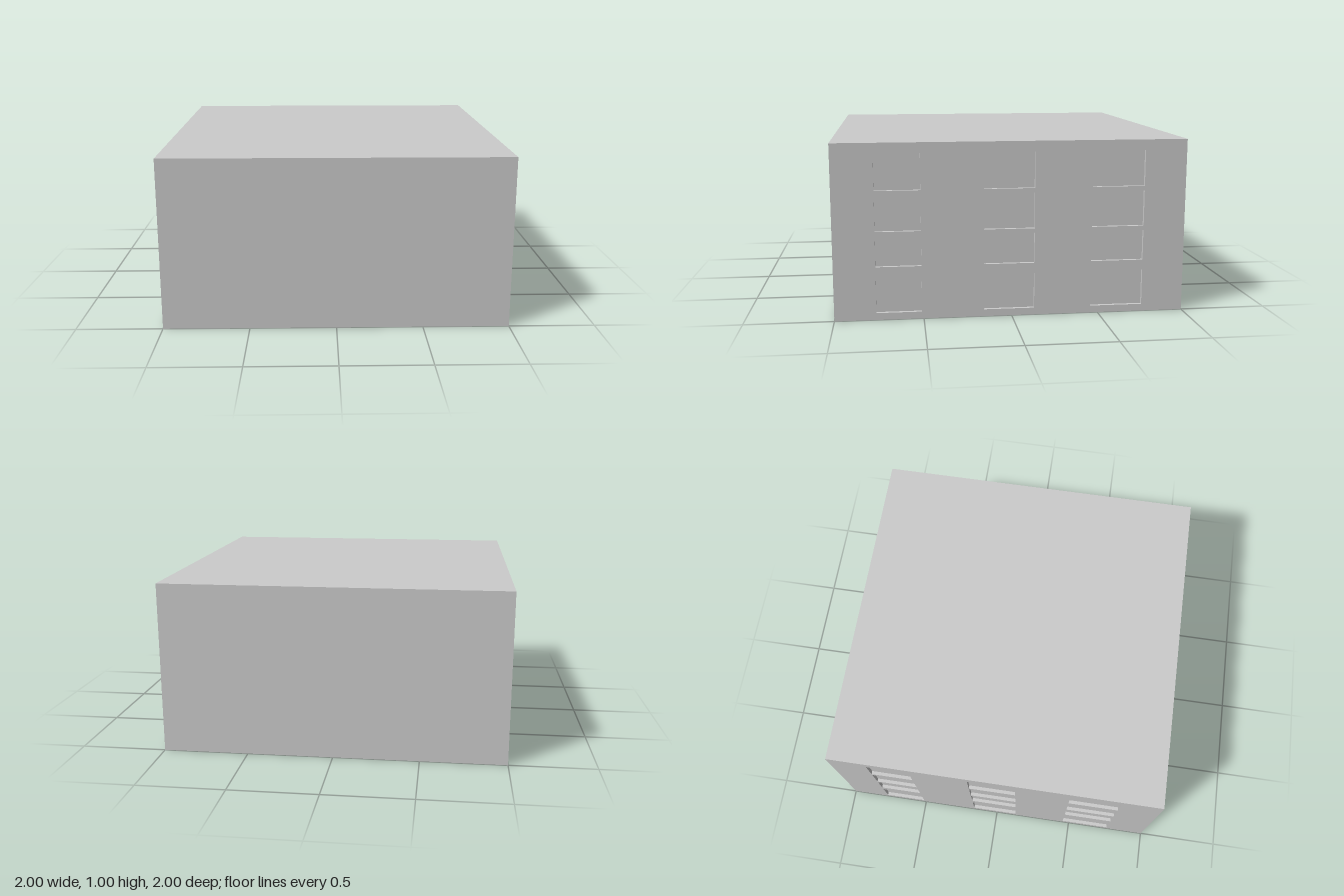
import * as THREE from 'three';

const DEPTH = 0.02; // window recess
const COLUMNS = [[0.51, 0.766], [-0.13, 0.158], [-0.76, -0.458]]; // z ranges
const ROWS = [[0.04, 0.245], [0.305, 0.48], [0.505, 0.71], [0.735, 0.94]]; // y ranges

const material = new THREE.MeshStandardMaterial({ color: 0xcccccc });

function addMesh(parent, geometry, name) {
  const mesh = new THREE.Mesh(geometry, material);
  mesh.name = name;
  parent.add(mesh);
  return mesh;
}

// Rectangle outline in (u, v)
function rect(PathType, u0, u1, v0, v1) {
  return new PathType([[u0, v0], [u1, v0], [u1, v1], [u0, v1]].map(([u, v]) => new THREE.Vector2(u, v)));
}

// Box turned inside out, with its outer (+x) face left open
function recessGeometry(w, h, d) {
  const geometry = new THREE.BoxGeometry(w, h, d);
  geometry.setIndex(Array.from(geometry.index.array).slice(6).reverse());
  geometry.computeVertexNormals();
  return geometry;
}

// Side wall at x = 1 with a grid of recessed windows
function createFacade(name) {
  const facade = new THREE.Group();
  facade.name = name;
  const outline = rect(THREE.Shape, -1, 1, 0, 1);
  for (const [z0, z1] of COLUMNS) {
    for (const [y0, y1] of ROWS) {
      outline.holes.push(rect(THREE.Path, -z1, -z0, y0, y1));
      const recess = addMesh(facade, recessGeometry(DEPTH, y1 - y0, z1 - z0), 'windowRecess');
      recess.position.set(1 - DEPTH / 2, (y0 + y1) / 2, (z0 + z1) / 2);
    }
  }
  const wall = new THREE.ShapeGeometry(outline);
  wall.rotateY(Math.PI / 2).translate(1, 0, 0);
  addMesh(facade, wall, 'wall');
  return facade;
}

export function createModel() {
  const model = new THREE.Group();
  model.name = 'building';

  // Roof, floor, front and back; the two sides are the facades
  const body = new THREE.BoxGeometry(2, 1, 2);
  body.setIndex(Array.from(body.index.array).slice(12));
  body.clearGroups();
  body.translate(0, 0.5, 0);
  addMesh(model, body, 'body');

  // The opposite facade is the same wall turned half around
  const leftFacade = createFacade('leftFacade');
  const rightFacade = createFacade('rightFacade');
  rightFacade.rotation.y = Math.PI;
  model.add(leftFacade, rightFacade);
  return model;
}
